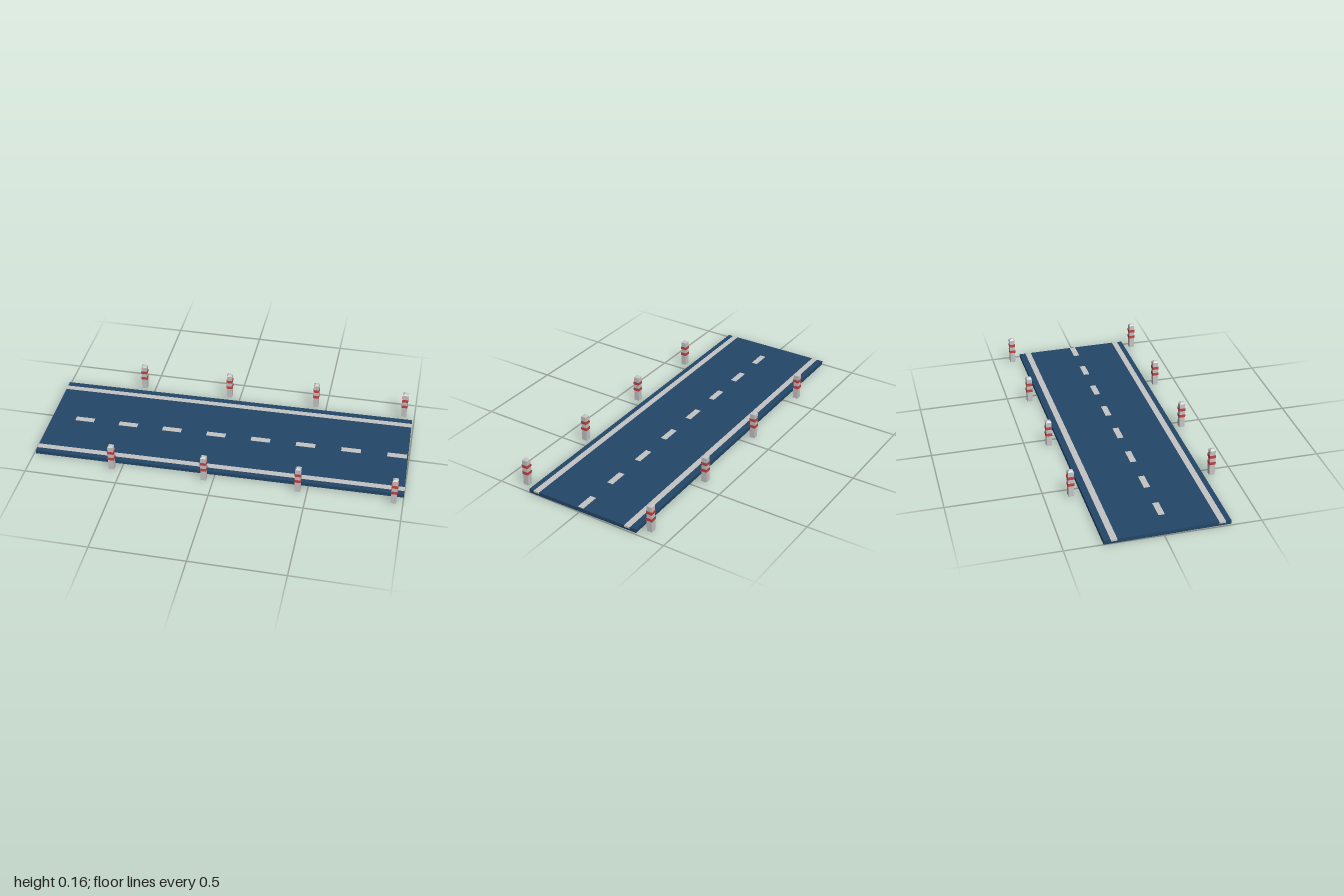
import * as THREE from 'three';

export function createModel() {
  const model = new THREE.Group();
  model.name = 'roadSection';

  const asphalt = new THREE.MeshStandardMaterial({ color: 0x234668 });
  asphalt.name = 'asphalt blue';
  const paint = new THREE.MeshStandardMaterial({ color: 0xc4c4c4 });
  paint.name = 'pale grey';
  const red = new THREE.MeshStandardMaterial({ color: 0xc44242 });
  red.name = 'reflector red';

  // The whole road lies slightly askew
  const road = new THREE.Group();
  road.name = 'road';
  road.rotation.y = 0.0152;
  model.add(road);

  // Box given by its lower and upper height
  function box(parent, name, material, w, d, y0, y1, x = 0, z = 0) {
    const mesh = new THREE.Mesh(new THREE.BoxGeometry(w, y1 - y0, d), material);
    mesh.position.set(x, (y0 + y1) / 2, z);
    mesh.name = name;
    parent.add(mesh);
    return mesh;
  }

  // Slab
  box(road, 'roadSlab', asphalt, 1.99, 0.648, 0, 0.0205, 0, 0.006);

  // Edge stripes, set into the slab and showing at its ends
  for (const side of [-1, 1]) {
    box(road, 'edgeStripe', paint, 1.992, 0.033, 0.0115, 0.0212, 0, 0.0095 + side * 0.2755);
  }

  // Centre dashes
  for (let i = 0; i < 8; i++) {
    box(road, 'centreDash', paint, 0.106, 0.033, 0.0135, 0.0222, -0.807 + i * 0.249, 0.014);
  }

  // Square marker post with two red bands and a tapered cap
  function markerPost(x, z) {
    const post = new THREE.Group();
    post.name = 'markerPost';
    post.position.set(x, 0, z);
    box(post, 'postBody', paint, 0.03, 0.03, 0.008, 0.152);
    for (const y of [0.07, 0.109]) box(post, 'redBand', red, 0.034, 0.034, y, y + 0.016);
    const capGeometry = new THREE.CylinderGeometry(
      0.0075 * Math.SQRT2, 0.015 * Math.SQRT2, 0.008, 4, 1).rotateY(Math.PI / 4).toNonIndexed();
    capGeometry.computeVertexNormals();
    const cap = new THREE.Mesh(capGeometry, paint);
    cap.name = 'postCap';
    cap.position.y = 0.156;
    post.add(cap);
    road.add(post);
  }
  for (const side of [-1, 1]) {
    for (let i = 0; i < 4; i++) markerPost(-0.555 + i * 0.5, 0.003 + side * 0.376);
  }

  return model;
}
